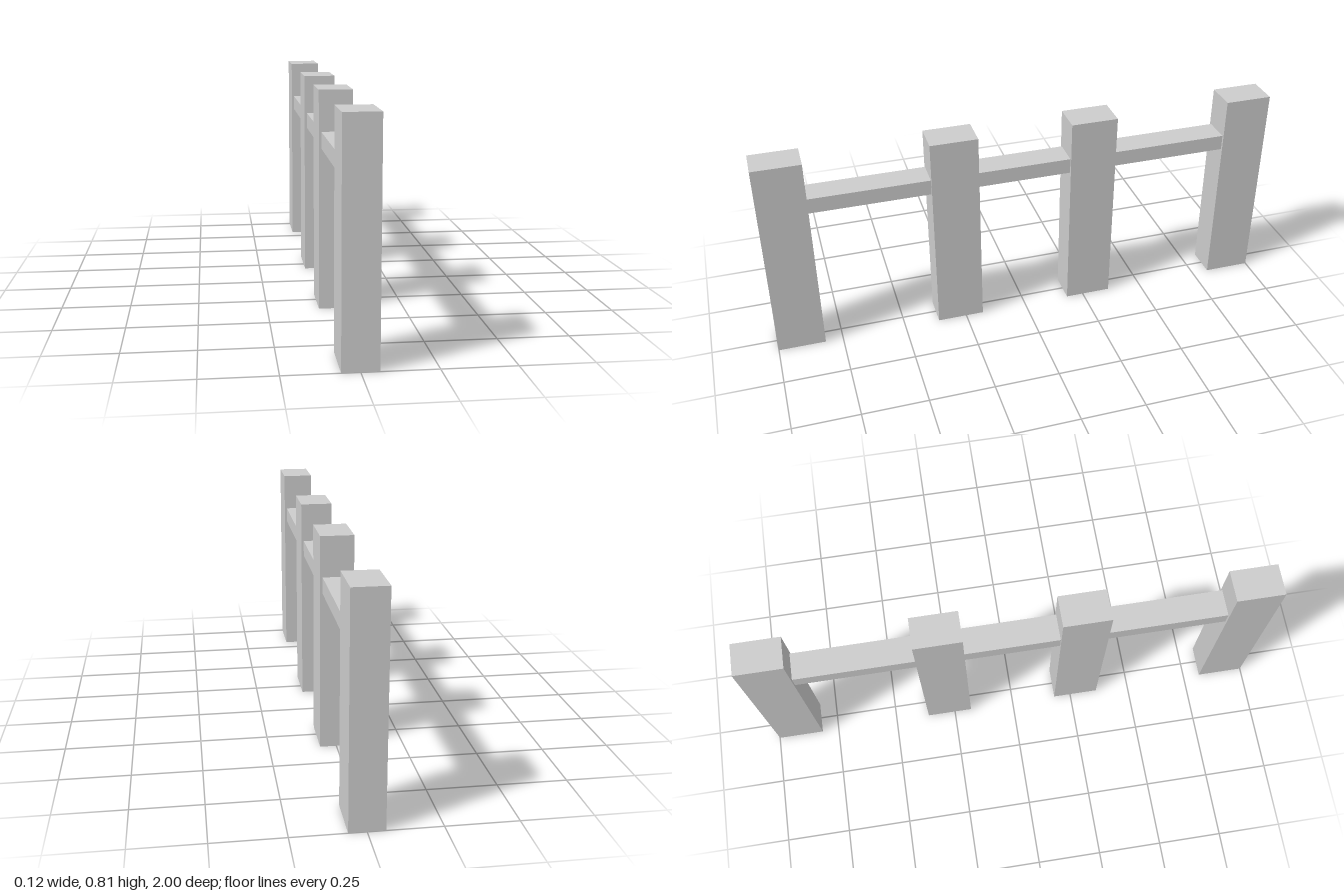
import * as THREE from 'three';

export function createModel() {
  const group = new THREE.Group();
  group.name = 'postAndRailFence';
  const material = new THREE.MeshStandardMaterial({ color: 0xcccccc, flatShading: true });

  const postHeight = 0.805, postDepth = 0.182;
  const postCentres = [0.909, 0.272, -0.272, -0.909];

  function addBox(name, width, height, depth, y, z) {
    const mesh = new THREE.Mesh(new THREE.BoxGeometry(width, height, depth), material);
    mesh.name = name;
    mesh.position.set(0, y, z);
    group.add(mesh);
  }

  // Upright posts standing on the ground
  postCentres.forEach((z, i) => {
    addBox(`post${i + 1}`, 0.122, postHeight, postDepth, postHeight / 2, z);
  });

  // Rails filling the gaps between neighbouring posts
  for (let i = 0; i < postCentres.length - 1; i++) {
    const a = postCentres[i], b = postCentres[i + 1];
    addBox(`rail${i + 1}`, 0.104, 0.06, a - b - postDepth, 0.625, (a + b) / 2);
  }

  return group;
}
